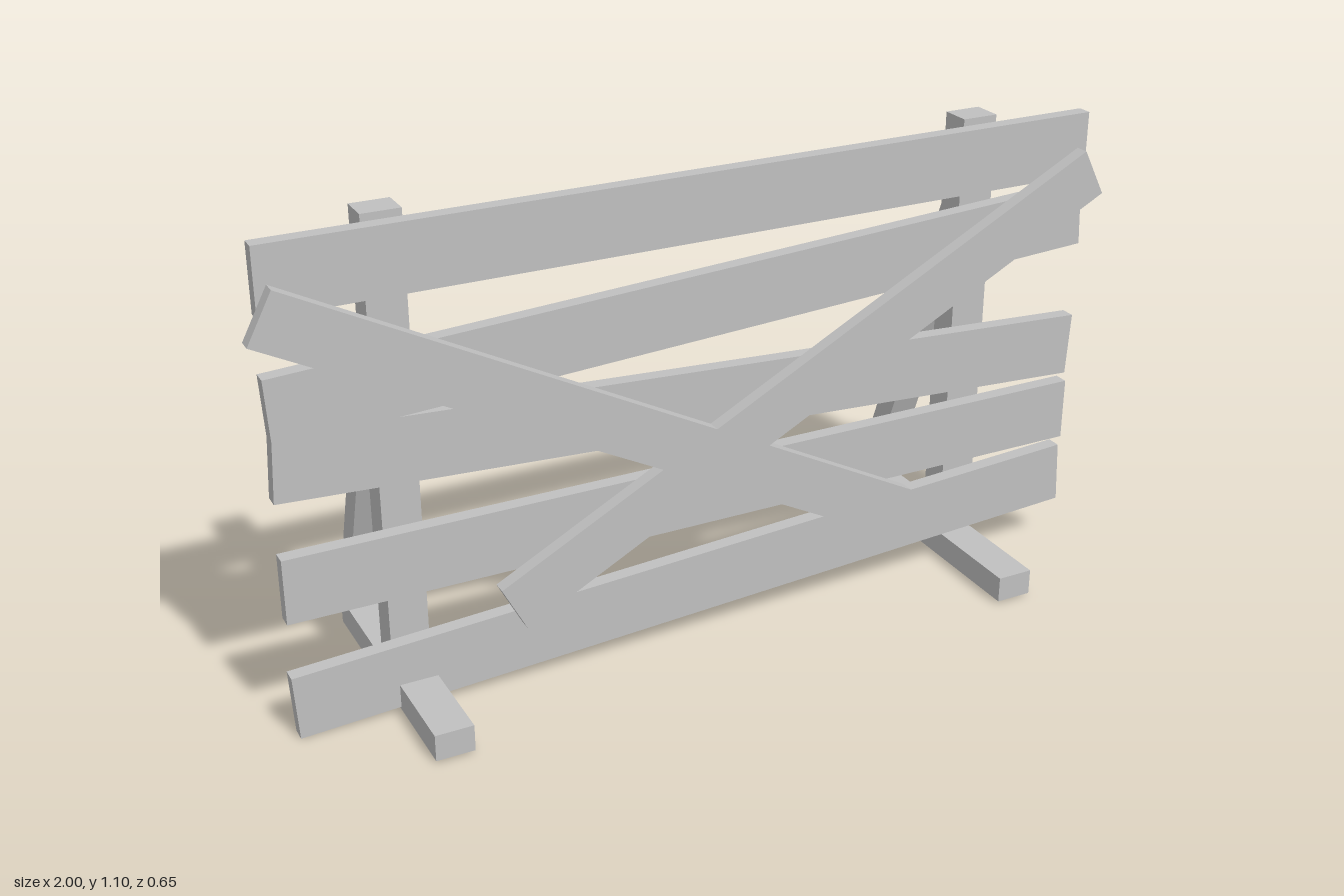
import * as THREE from 'three';

export function createModel() {
  const model = new THREE.Group();
  model.name = 'plankBarricade';
  const wood = new THREE.MeshStandardMaterial({ color: 0xc0c0c0 });
  wood.name = 'pale grey wood';

  // One board: name, size, centre, optional tilt about x and z
  function board(name, size, centre, tiltZ = 0, tiltX = 0) {
    const mesh = new THREE.Mesh(new THREE.BoxGeometry(...size), wood);
    mesh.name = name;
    mesh.position.set(...centre);
    mesh.rotation.set(tiltX, 0, tiltZ);
    model.add(mesh);
  }

  // Horizontal planks: [height of centre, tilt]
  const planks = [[1.019, 0], [0.799, 0.054], [0.575, -0.054], [0.352, 0], [0.129, 0.055]];
  planks.forEach(([y, tilt], i) =>
    board('plank' + (i + 1), [1.932, 0.148, 0.034], [0, y, 0.101], tilt));

  // Ends of the sloping rear brace, as z and y
  const low = new THREE.Vector2(-0.298, 0.03);
  const high = new THREE.Vector2(0.055, 0.96);
  const middle = low.clone().add(high).multiplyScalar(0.5);
  const lean = Math.atan2(high.x - low.x, high.y - low.y);

  for (const [side, s] of [['left', 1], ['right', -1]]) {
    const x = 0.697 * s;
    // Foot, upright post and brace
    board(side + 'Foot', [0.086, 0.061, 0.614], [x, 0.0375, 0.021]);
    board(side + 'Post', [0.086, 1.047, 0.07], [x, 0.5825, 0.04]);
    board(side + 'Brace', [0.072, low.distanceTo(high), 0.059], [x, middle.y, middle.x], 0, lean);
    // Diagonal cross board on the front
    board(side + 'CrossBoard', [1.641, 0.121, 0.032], [0.2425 * s, 0.579, 0.134], 0.481 * s);
  }
  return model;
}
